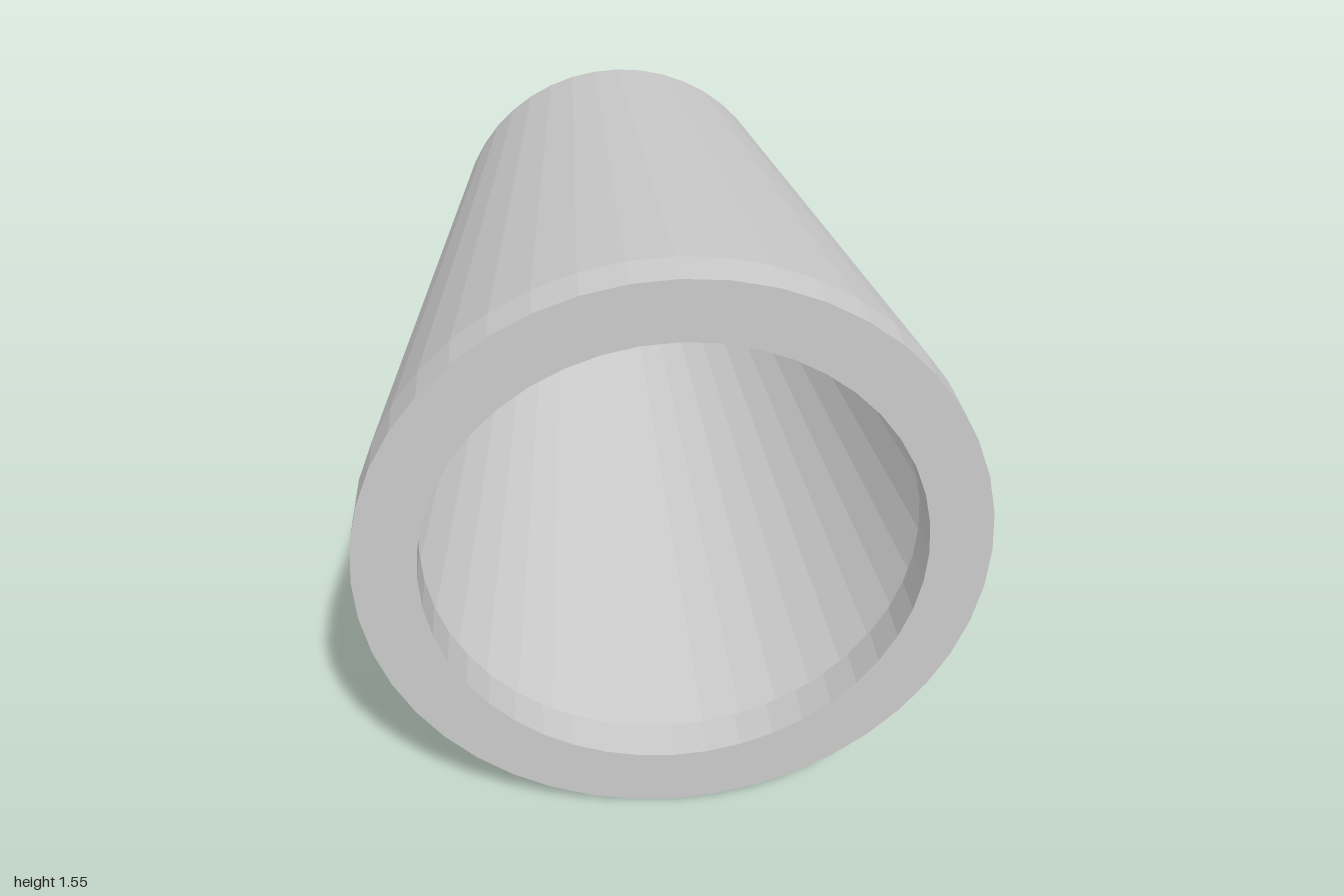
import * as THREE from 'three';

const SEGMENTS = 44;
const AXIS_HEIGHT = 0.777;

export function createModel() {
  const model = new THREE.Group();
  model.name = 'taperedCup';
  const material = new THREE.MeshStandardMaterial({ color: 0xcccccc, flatShading: true });

  // Revolves [radius, z] points around the horizontal axis of the cup
  function addTurned(name, profile) {
    const points = profile.map(([r, z]) => new THREE.Vector2(r, z));
    const geometry = new THREE.LatheGeometry(points, SEGMENTS).rotateX(Math.PI / 2);
    const mesh = new THREE.Mesh(geometry, material);
    mesh.name = name;
    mesh.position.y = AXIS_HEIGHT;
    model.add(mesh);
  }

  // Closed back end and tapered outside
  addTurned('base', [[0, -1], [0.54, -1]]);
  addTurned('outerWall', [[0.54, -1], [0.777, 0.89]]);

  // Thick lip around the open front end
  addTurned('rim', [[0.777, 0.89], [0.777, 1], [0.62, 1], [0.62, 0.89], [0.763, 0.89]]);

  // Hollow inside: thin tapered wall and floor
  addTurned('innerWall', [[0.763, 0.89], [0.527, -0.985]]);
  addTurned('innerFloor', [[0.527, -0.985], [0, -0.985]]);

  return model;
}
